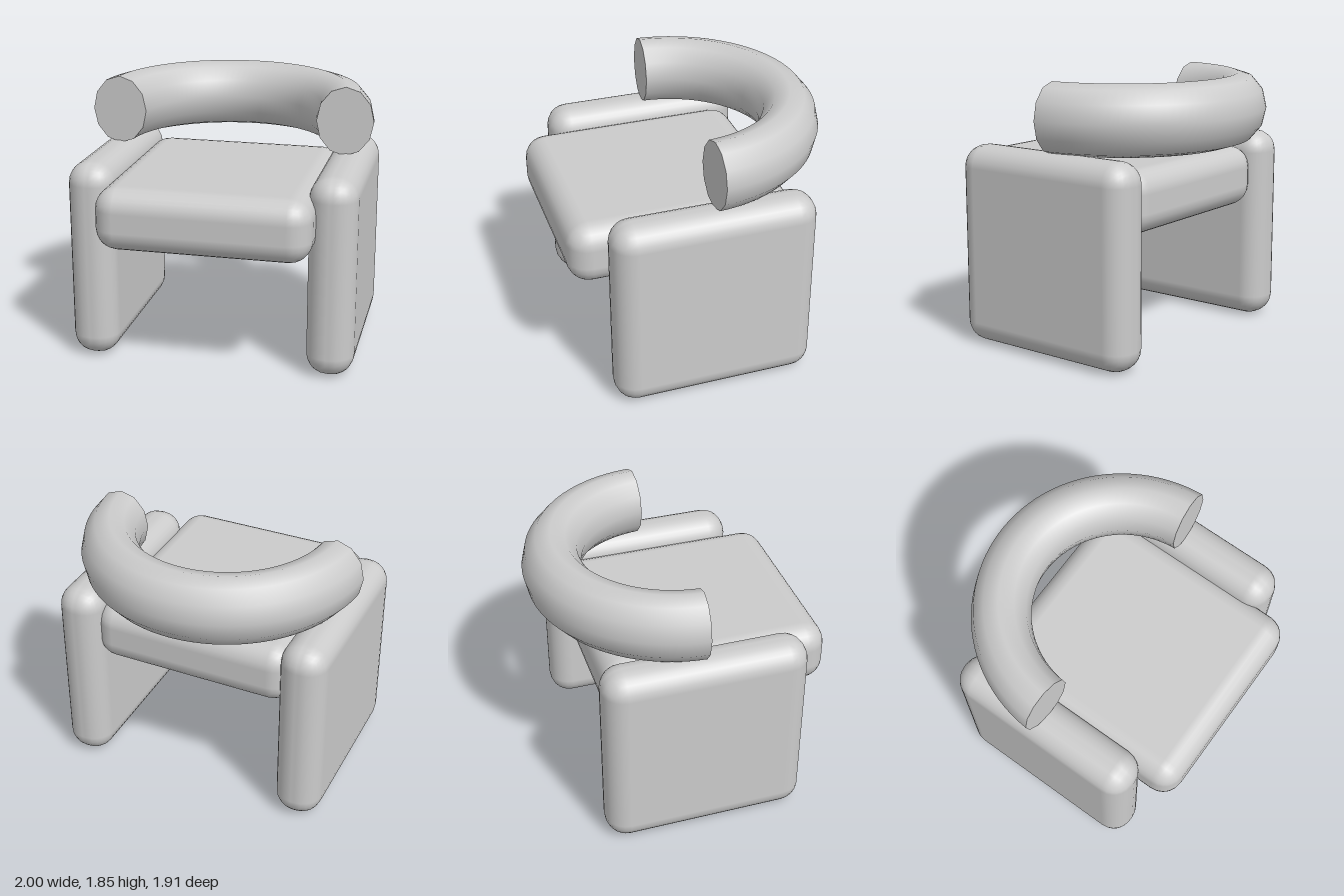
import * as THREE from 'three';
import { RoundedBoxGeometry } from 'three/addons/geometries/RoundedBoxGeometry.js';
import { mergeGeometries } from 'three/addons/utils/BufferGeometryUtils.js';

const material = new THREE.MeshStandardMaterial({ color: 0xcccccc });

// Soft cushion block given by its min and max corners
function cushion(name, min, max, radius) {
  const size = max.map((v, i) => v - min[i]);
  const mesh = new THREE.Mesh(new RoundedBoxGeometry(...size, 3, radius), material);
  mesh.position.set(...max.map((v, i) => (v + min[i]) / 2));
  mesh.name = name;
  return mesh;
}

// Half ring of oval section with flat end caps
function backrestGeometry() {
  const ring = 0.805, tube = 0.197, sides = 12, inset = 0.06;
  const arc = new THREE.TorusGeometry(ring, tube, sides, 48, Math.PI - 2 * inset).rotateZ(inset);
  const cap = new THREE.CircleGeometry(tube, sides)
    .rotateX(Math.PI / 2).translate(ring, 0, 0).rotateZ(inset);
  const otherCap = cap.clone().rotateY(Math.PI);
  return mergeGeometries([arc, cap, otherCap])
    .rotateX(-Math.PI / 2)
    .scale(1, 0.24 / tube, 1.024);
}

export function createModel() {
  const group = new THREE.Group();
  group.name = 'armchair';

  group.add(cushion('seat', [-0.725, 0.86, -0.61], [0.725, 1.29, 0.957], 0.15));

  // Side panels that serve as legs
  for (const [name, x] of [['leftSidePanel', 0.823], ['rightSidePanel', -0.823]]) {
    group.add(cushion(name, [x - 0.163, 0, -0.675], [x + 0.163, 1.385, 0.73], 0.15));
  }

  const backrest = new THREE.Mesh(backrestGeometry(), material);
  backrest.name = 'backrest';
  backrest.position.set(0, 1.61, 0.07);
  group.add(backrest);

  return group;
}
